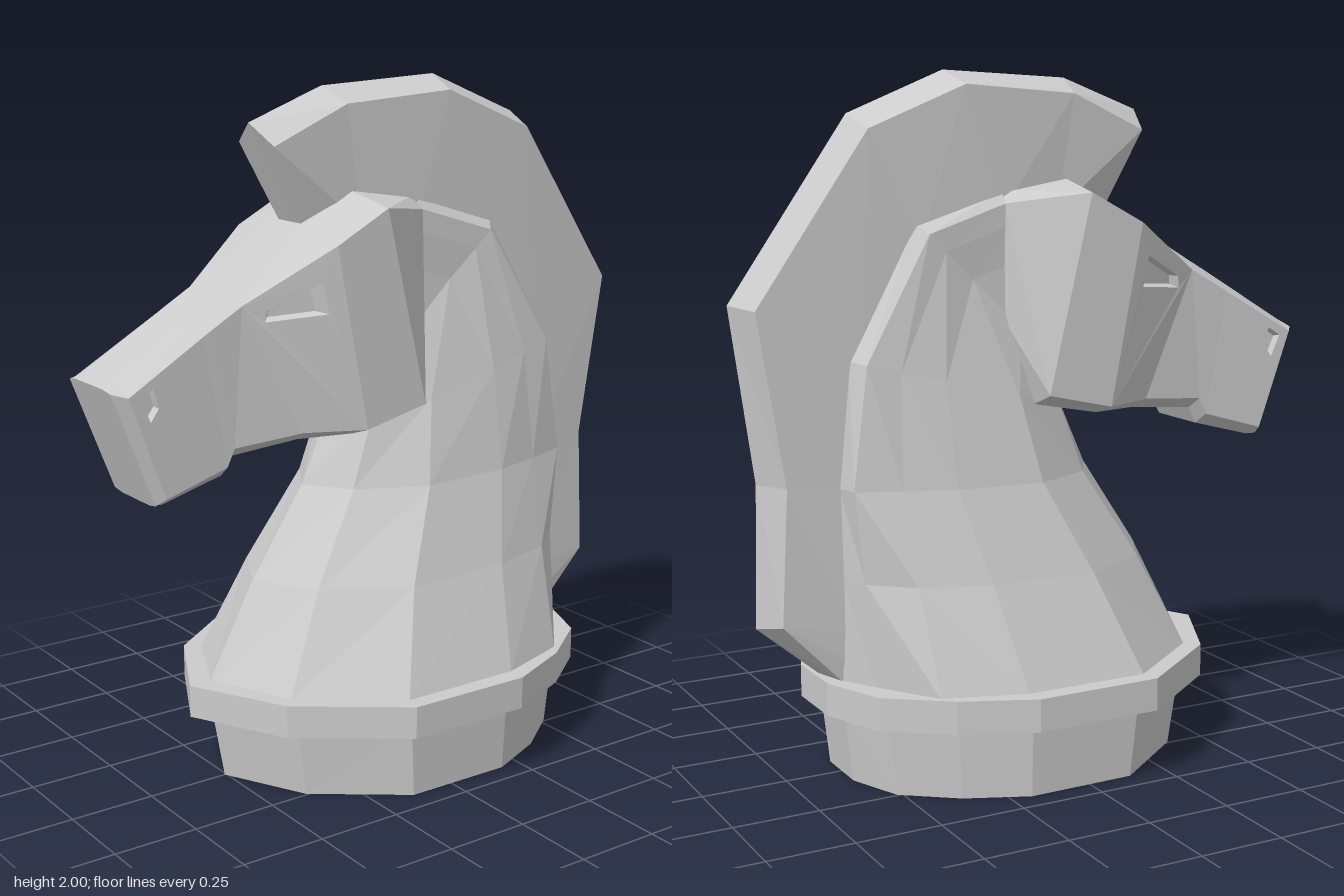
import * as THREE from 'three';

const mat = new THREE.MeshStandardMaterial({ color: 0xcccccc, flatShading: true, side: THREE.DoubleSide });

function meshFrom(name, positions) {
  const g = new THREE.BufferGeometry();
  g.setAttribute('position', new THREE.Float32BufferAttribute(positions, 3));
  g.computeVertexNormals();
  const m = new THREE.Mesh(g, mat);
  m.name = name;
  return m;
}

const quad = (out, a, b, c, d) => out.push(...a, ...b, ...c, ...a, ...c, ...d);

// Half a cross-section (x >= 0) completed by its mirror image into a closed loop
const mirrorLoop = half => [
  ...half,
  ...half.filter(p => p[0] > 0).reverse().map(([x, y, z]) => [-x, y, z]),
];

// Skin between successive loops, with both ends capped; diagonals are mirrored left to right
function loft(rings, skip = () => false) {
  const out = [], n = rings[0].length;
  for (let r = 0; r + 1 < rings.length; r++)
    for (let i = 0; i < n; i++) {
      if (skip(r, i)) continue;
      const j = (i + 1) % n;
      const [a, b, c, d] = [rings[r][i], rings[r][j], rings[r + 1][j], rings[r + 1][i]];
      if (a[0] + b[0] < 0) quad(out, b, c, d, a);
      else quad(out, a, b, c, d);
    }
  const cap = (ring, flip) => {
    for (let i = 1; i + 1 < n; i++) {
      if (flip) out.push(...ring[0], ...ring[i + 1], ...ring[i]);
      else out.push(...ring[0], ...ring[i], ...ring[i + 1]);
    }
  };
  cap(rings[0], true);
  cap(rings[rings.length - 1], false);
  return out;
}

// Oval faceted footing and rim
const outline = [[0, .615], [.285, .47], [.5, .18], [.505, -.2], [.415, -.41], [.285, -.585], [.1, -.66]];
const baseRing = (y, sx, sz, dz = 0) => mirrorLoop(outline.map(([x, z]) => [x * sx, y, z * sz + dz]));

// Neck sections fanning round the throat: front and back point as [z, y],
// half-widths at the front, widest, rear fold and crest, then where fold and crest begin
function neckRings() {
  const stations = [
    [[.55, .3], [-.61, .3], [.25, .45, .375, .2], .85, .95],
    [[.4, .58], [-.61, .6], [.19, .335, .28, .185], .85, .965],
    [[.225, .84], [-.615, .86], [.14, .25, .215, .178], .83, .985],
    [[.14, 1.03], [-.58, 1.21], [.13, .195, .18, .168], .83, .965],
    [[.1, 1.12], [-.38, 1.58], [.11, .13, .14, .143], .83, .94],
    [[0, 1.1], [-.11, 1.665], [.1, .125, .13, .13], .83, .94],
  ];
  return stations.map(([f, b, [front, wide, fold, crest], foldAt, crestAt]) => {
    const at = (t, x) => [x, f[1] + (b[1] - f[1]) * t, f[0] + (b[0] - f[0]) * t];
    return mirrorLoop([at(0, 0), at(.1, front), at(.33, wide), at(.65, wide),
      at(foldAt, fold), at(crestAt, crest), at(1, .1)]);
  });
}

// Mane: ridge, shoulder and root points as [z, y], then shoulder and root half-widths
function maneRings() {
  const stations = [
    [[.39, 1.89], [.365, 1.83], [.26, 1.61], .09, .055],
    [[.15, 1.98], [.13, 1.935], [.08, 1.6], .1, .09],
    [[-.24, 2], [-.22, 1.96], [-.11, 1.6], .11, .11],
    [[-.535, 1.88], [-.515, 1.84], [-.36, 1.52], .105, .11],
    [[-.89, 1.37], [-.845, 1.36], [-.54, 1.2], .095, .11],
    [[-.82, .87], [-.765, .87], [-.57, .85], .095, .11],
    [[-.83, .46], [-.785, .48], [-.57, .45], .095, .11],
    [[-.64, .3], [-.61, .3], [-.5, .3], .095, .11],
  ];
  return stations.map(([o, e, r, ew, rw]) =>
    mirrorLoop([[0, o[1], o[0]], [ew, e[1], e[0]], [rw, r[1], r[0]]]));
}

// Head sections from the back of the cheek to the nose:
// top and bottom as [z, y], upper and lower half-width, size of the bevel
const headStations = [
  [[-.11, 1.665], [-.11, 1.26], .13, .13, .035],
  [[.11, 1.695], [-.04, 1.06], .253, .253, .035],
  [[.275, 1.6], [.165, 1.02], .253, .253, .028],
  [[.525, 1.45], [.32, 1.015], .147, .175, .035],
  [[.62, 1.395], [.535, .995], .148, .15, .035],
  [[.64, 1.383], [.56, .945], .148, .15, .035],
  [[.875, 1.243], [.75, .895], .155, .155, .03],
  [[.9, 1.23], [.77, .89], .115, .115, .008],
];
const headHalf = headStations.map(([t, b, xt, xb, bevel]) => {
  const k = bevel / Math.hypot(b[0] - t[0], b[1] - t[1]);
  const at = s => [t[1] + (b[1] - t[1]) * s, t[0] + (b[0] - t[0]) * s];
  return [[.08, ...at(0)], [xt, ...at(k)], [xb, ...at(1 - k)], [xb * .68, ...at(1)]];
});

// Flat head side between two sections, with a sunken opening given as [z, y] corners
function sidePanel(section, hole, depth) {
  const [, a, b] = headHalf[section], [, d, c] = headHalf[section + 1];
  const on = (p, q, y, k) => p[k] + (q[k] - p[k]) * (y - p[1]) / (q[1] - p[1]);
  const xAt = (z, y) => {
    const z0 = on(a, b, y, 2), z1 = on(d, c, y, 2), x0 = on(a, b, y, 0);
    return x0 + (on(d, c, y, 0) - x0) * (z - z0) / (z1 - z0);
  };
  const contour = [a, b, c, d];
  const rim = hole.map(([z, y]) => [xAt(z, y), y, z]);
  const to2 = p => new THREE.Vector2(p[2], p[1]);
  const all = [...contour, ...rim], out = [];
  for (const f of THREE.ShapeUtils.triangulateShape(contour.map(to2), [rim.map(to2)]))
    f.forEach(i => out.push(...all[i]));
  const mid = [0, 1, 2].map(k => rim.reduce((s, p) => s + p[k], 0) / rim.length);
  const floor = rim.map(p => p.map((v, k) => mid[k] + (v - mid[k]) * .75 - (k === 0 ? depth : 0)));
  rim.forEach((p, i) => {
    const j = (i + 1) % rim.length;
    quad(out, p, rim[j], floor[j], floor[i]);
  });
  quad(out, ...floor);
  return out;
}

export function createModel() {
  const group = new THREE.Group();
  const add = (name, positions) => {
    const m = meshFrom(name, positions);
    group.add(m);
    return m;
  };

  add('footing', loft([baseRing(0, .86, .851, -.018), baseRing(.22, .885, .902, -.01)]));
  add('rim', loft([baseRing(.21, 1, 1), baseRing(.305, 1, 1)]));
  add('neck', loft(neckRings()));
  add('mane', loft(maneRings()));

  // Head shell leaves its eye and nostril sides open for the panels
  const open = [2, 5];
  add('head', loft(headHalf.map(mirrorLoop), (r, i) => open.includes(r) && (i === 1 || i === 5)));

  const eye = [[.45, 1.37], [.285, 1.385], [.305, 1.475], [.445, 1.405]];
  const nostril = [[.8, 1.14], [.775, 1.175], [.79, 1.23], [.83, 1.205]];
  for (const side of [1, -1]) {
    const label = side > 0 ? 'left' : 'right';
    add(label + 'EyePanel', sidePanel(2, eye, .03)).scale.x = side;
    add(label + 'NostrilPanel', sidePanel(5, nostril, .02)).scale.x = side;
  }
  return group;
}
